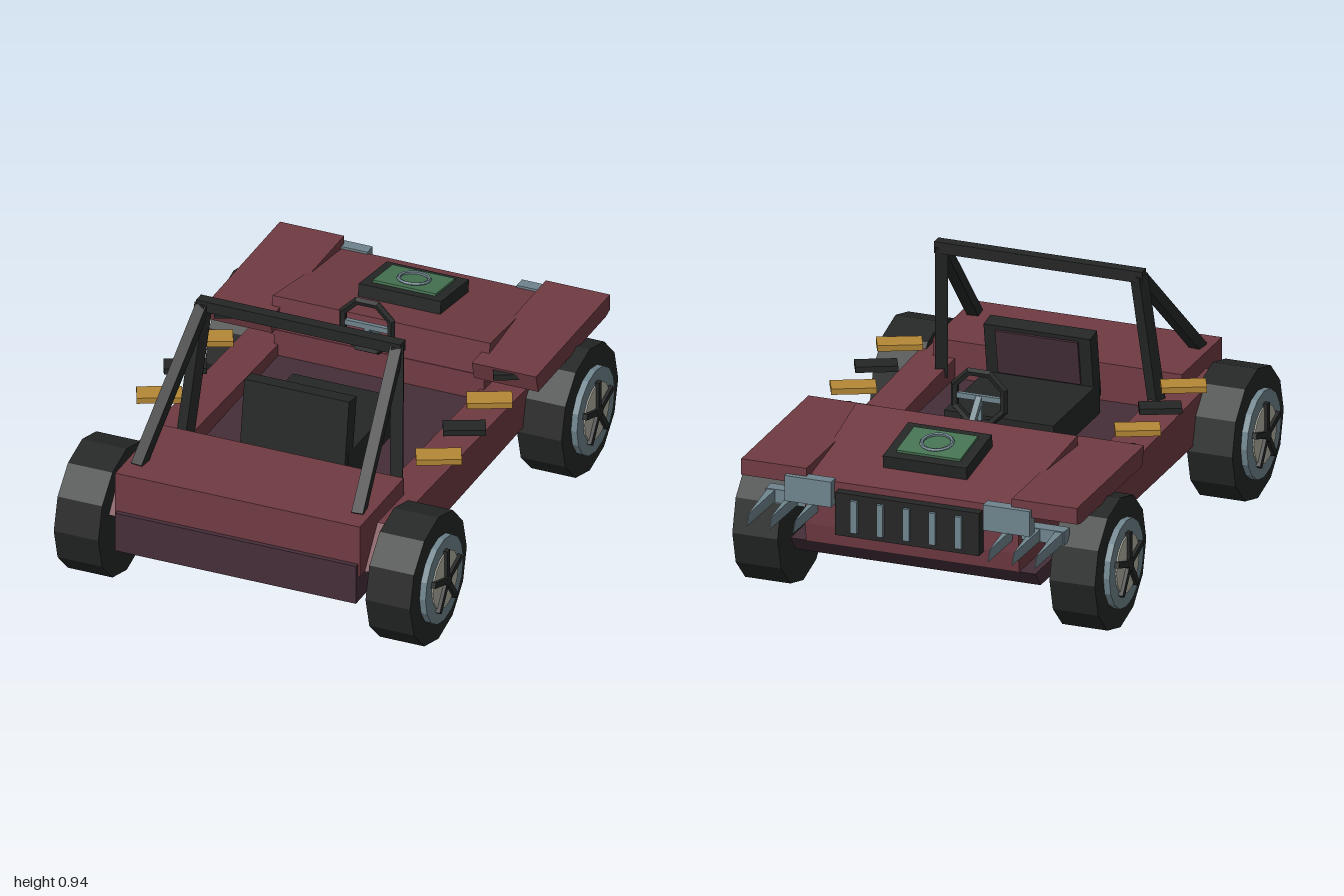
import * as THREE from 'three';

const mat = (name, color) => {
  const m = new THREE.MeshStandardMaterial({ color });
  m.name = name;
  return m;
};

export function createModel() {
  const red = mat('body red', 0x703b42);
  const plum = mat('dark plum', 0x452e38);
  const black = mat('rubber black', 0x252626);
  const steel = mat('blue steel', 0x6f848d);
  const gold = mat('gold', 0xb58936);
  const green = mat('green', 0x467352);
  const cream = mat('cream', 0xb2b2a4);

  const model = new THREE.Group();
  model.name = 'buggy';

  // Faceted normals for low-poly round parts
  const facet = (g) => {
    const f = g.index ? g.toNonIndexed() : g;
    f.computeVertexNormals();
    return f;
  };
  const add = (name, geo, material, parent = model) => {
    const m = new THREE.Mesh(geo, material);
    m.name = name;
    parent.add(m);
    return m;
  };
  // Box given by its min and max on each axis
  const box = (name, material, x0, x1, y0, y1, z0, z1, parent = model) => {
    const m = add(name, new THREE.BoxGeometry(x1 - x0, y1 - y0, z1 - z0), material, parent);
    m.position.set((x0 + x1) / 2, (y0 + y1) / 2, (z0 + z1) / 2);
    return m;
  };
  // Side profile of [z, y] points swept across x0..x1
  const slab = (name, material, pts, x0, x1, parent = model) => {
    const shape = new THREE.Shape(pts.map((p) => new THREE.Vector2(p[0], p[1])));
    const geo = new THREE.ExtrudeGeometry(shape, { depth: x1 - x0, bevelEnabled: false });
    geo.rotateY(-Math.PI / 2).translate(x1, 0, 0);
    return add(name, geo, material, parent);
  };
  // Square bar between two points
  const bar = (name, material, a, b, w, parent = model) => {
    const p = new THREE.Vector3(...a), q = new THREE.Vector3(...b);
    const m = add(name, new THREE.BoxGeometry(w, w, p.distanceTo(q)), material, parent);
    m.position.copy(p).add(q).multiplyScalar(0.5);
    m.lookAt(q);
    return m;
  };

  // Undertray, floor and rear bumper
  slab('undertray', plum, [[-0.74, 0.2], [0.96, 0.2], [0.96, 0.26], [-0.79, 0.26]], -0.46, 0.46);
  box('cabinFloor', plum, -0.385, 0.385, 0.25, 0.36, -0.3, 0.6);
  box('rearBumper', plum, -0.46, 0.46, 0.2, 0.35, 0.8, 0.97);

  // Side pods
  for (const s of [-1, 1]) {
    const [a, b] = [0.385 * s, 0.53 * s].sort((p, q) => p - q);
    slab('sidePod', red, [[-0.35, 0.26], [0.8, 0.26], [0.91, 0.3], [0.8, 0.44], [0.5, 0.432], [-0.35, 0.4]], a, b);
  }

  // Rear deck and nose
  box('rearDeck', red, -0.467, 0.467, 0.3, 0.5, 0.575, 0.952);
  slab('nose', red, [[-0.79, 0.26], [-0.26, 0.26], [-0.26, 0.46], [-0.8, 0.46], [-0.8, 0.33]], -0.4, 0.4);

  // Hood: a sloped wedge, narrower at the front
  const hood = slab('hood', red, [[-0.81, 0.44], [-0.26, 0.44], [-0.28, 0.583], [-0.81, 0.505]], -0.415, 0.415);
  const hp = hood.geometry.attributes.position;
  for (let i = 0; i < hp.count; i++) {
    if (hp.getZ(i) < -0.5) hp.setX(i, hp.getX(i) * 0.92);
  }
  hood.geometry.computeVertexNormals();

  // Front fenders
  for (const s of [-1, 1]) {
    const [a, b] = [0.385 * s, 0.63 * s].sort((p, q) => p - q);
    slab('frontFender', red, [[-0.79, 0.475], [-0.21, 0.475], [-0.19, 0.545], [-0.825, 0.545], [-0.825, 0.485]], a, b);
  }

  // Hood hatch with a green panel and steel ring
  const hatch = new THREE.Group();
  hatch.name = 'hoodHatch';
  hatch.position.set(0, 0.565, -0.555);
  hatch.rotation.x = -0.15;
  model.add(hatch);
  box('hatchFrame', black, -0.157, 0.157, -0.03, 0.025, -0.122, 0.122, hatch);
  box('hatchPanel', green, -0.12, 0.12, 0.025, 0.034, -0.085, 0.085, hatch);
  const ring = add('hatchRing', facet(new THREE.TorusGeometry(0.055, 0.007, 5, 14)), steel, hatch);
  ring.rotation.x = Math.PI / 2;
  ring.position.y = 0.037;

  // Grille with upright slats
  box('grille', black, -0.27, 0.27, 0.32, 0.48, -0.845, -0.79);
  for (let i = -2; i <= 2; i++) {
    box('grilleSlat', steel, i * 0.098 - 0.012, i * 0.098 + 0.012, 0.34, 0.46, -0.857, -0.84);
  }

  // Spike mounts and forward blades
  for (const s of [-1, 1]) {
    const [a, b] = [0.285 * s, 0.46 * s].sort((p, q) => p - q);
    box('spikeMount', steel, a, b, 0.42, 0.515, -0.845, -0.8);
    box('spikeBeam', steel, Math.min(0.33 * s, 0.56 * s), Math.max(0.33 * s, 0.56 * s), 0.375, 0.425, -0.77, -0.72);
    for (const x of [0.365, 0.455, 0.54]) {
      const blade = slab('spike', steel, [[-1, 0.37], [-0.72, 0.38], [-0.72, 0.425], [-0.98, 0.41]], s * x - 0.018, s * x + 0.018);
      const p = blade.geometry.attributes.position;
      for (let i = 0; i < p.count; i++) {
        if (p.getZ(i) < -0.9) p.setX(i, s * x + (p.getX(i) - s * x) * 0.08);
      }
      blade.geometry.computeVertexNormals();
    }
  }

  // Seat with reclined back and inset pad
  box('seatCushion', black, -0.205, 0.205, 0.34, 0.475, 0.02, 0.46);
  slab('seatBack', black, [[0.42, 0.42], [0.485, 0.42], [0.445, 0.675], [0.38, 0.665]], -0.2, 0.2);
  slab('seatPad', plum, [[0.403, 0.48], [0.42, 0.48], [0.39, 0.65], [0.373, 0.648]], -0.155, 0.155);

  // Steering wheel and column
  const wheelRim = add('steeringWheel', facet(new THREE.TorusGeometry(0.1, 0.015, 5, 8)), black);
  wheelRim.position.set(0, 0.62, -0.16);
  wheelRim.rotation.z = Math.PI / 8;
  bar('steeringColumn', steel, [0, 0.62, -0.16], [0, 0.5, -0.28], 0.022);
  box('steeringSpoke', steel, -0.09, 0.09, 0.61, 0.63, -0.168, -0.152);
  box('steeringSpokeLower', steel, -0.01, 0.01, 0.53, 0.62, -0.168, -0.152);

  // Roll cage
  const cage = new THREE.Group();
  cage.name = 'rollCage';
  model.add(cage);
  box('cageTop', black, -0.39, 0.39, 0.9, 0.942, 0.39, 0.432, cage);
  for (const s of [-1, 1]) {
    bar('cagePost', black, [s * 0.37, 0.925, 0.412], [s * 0.405, 0.4, 0.5], 0.045, cage);
    bar('cageStay', black, [s * 0.37, 0.915, 0.415], [s * 0.42, 0.49, 0.86], 0.042, cage);
  }

  // Angled step plates along both sides
  for (const x of [-0.533, 0.533]) {
    [-0.225, -0.01, 0.205, 0.425].forEach((z, i) => {
      const isGold = i % 2 === 1;
      const plate = add('sidePlate', isGold
        ? new THREE.BoxGeometry(0.16, 0.022, 0.084)
        : new THREE.BoxGeometry(0.15, 0.022, 0.075), isGold ? gold : black);
      plate.position.set(x, 0.524, z);
      plate.rotation.y = 0.44;
    });
  }

  // Wheels: tyre, steel rim, cream disc and five spokes, facing +x
  const cyl = (r, x0, x1, sides) => {
    const g = new THREE.CylinderGeometry(r, r, x1 - x0, sides);
    return facet(g.rotateZ(-Math.PI / 2).translate((x0 + x1) / 2, 0, 0));
  };
  const makeWheel = () => {
    const wheel = new THREE.Group();
    wheel.name = 'wheel';
    add('tyre', cyl(0.243, -0.085, 0.085, 12), black, wheel);
    add('rim', cyl(0.162, 0.08, 0.108, 16), steel, wheel);
    add('hubDisc', cyl(0.108, 0.1, 0.113, 16), cream, wheel);
    add('hubCap', cyl(0.024, 0.1, 0.127, 8), black, wheel);
    for (let i = 0; i < 5; i++) {
      const g = new THREE.BoxGeometry(0.016, 0.12, 0.022).translate(0.117, 0.06, 0);
      add('spoke', g.rotateX((i * Math.PI * 2) / 5), black, wheel);
    }
    return wheel;
  };
  for (const s of [-1, 1]) {
    for (const z of [-0.54, 0.757]) {
      const wheel = makeWheel();
      wheel.position.set(s * 0.595, 0.243, z);
      if (s < 0) wheel.rotation.y = Math.PI;
      model.add(wheel);
    }
  }

  return model;
}
